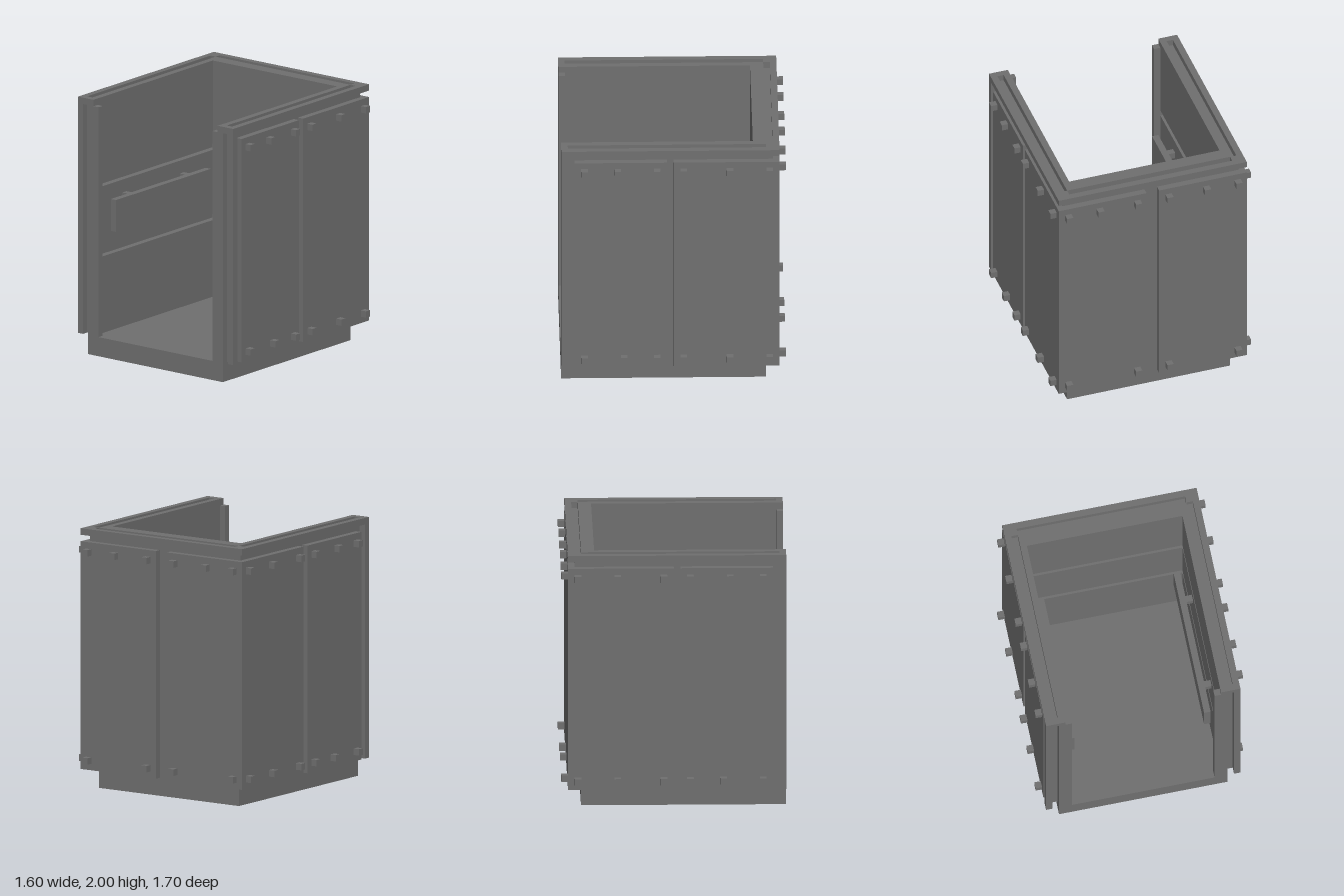
import * as THREE from 'three';

const steel = new THREE.MeshStandardMaterial({ color: 0x707070 });
steel.name = 'grey steel';

export function createModel() {
  const model = new THREE.Group();
  model.name = 'armouredCabin';

  // Box given by its extents on each axis
  const box = (name, x0, x1, y0, y1, z0, z1) => {
    const mesh = new THREE.Mesh(new THREE.BoxGeometry(x1 - x0, y1 - y0, z1 - z0), steel);
    mesh.position.set((x0 + x1) / 2, (y0 + y1) / 2, (z0 + z1) / 2);
    mesh.name = name;
    model.add(mesh);
  };
  // The same box on both sides
  const pair = (name, x0, x1, ...rest) => {
    box(name + 'Left', x0, x1, ...rest);
    box(name + 'Right', -x1, -x0, ...rest);
  };
  const bolt = 0.05;

  // Floor block
  box('base', -0.65, 0.65, 0, 0.15, -0.7, 0.85);

  // Structural core of the walls
  pair('sideCore', 0.65, 0.7, 0.15, 1.95, -0.7, 0.8);
  box('backCore', -0.7, 0.7, 0.15, 1.95, -0.75, -0.65);

  // Inner lining in three bands with grooves between them
  for (const [y0, y1] of [[0.15, 0.75], [0.8, 1.3], [1.35, 2]]) {
    pair('sideLining', 0.6, 0.65, y0, y1, -0.65, 0.8);
    box('backLining', -0.65, 0.65, y0, y1, -0.65, -0.6);
  }

  // Front door posts and outer edge strips
  pair('doorPost', 0.55, 0.65, 0.15, 1.95, 0.8, 0.85);
  pair('edgeStrip', 0.7, 0.75, 0.15, 1.95, 0.8, 0.85);

  // Top rim with a channel running along each wall
  pair('frontRim', 0.6, 0.75, 1.95, 2, 0.8, 0.85);
  pair('outerRim', 0.7, 0.75, 1.95, 2, -0.7, 0.8);
  pair('rimCorner', 0.65, 0.75, 1.95, 2, -0.8, -0.7);
  box('backOuterRim', -0.65, 0.65, 1.95, 2, -0.8, -0.75);
  box('backInnerRim', -0.65, 0.65, 1.95, 2, -0.7, -0.65);

  // Outer armour panels
  pair('sideFrontPanel', 0.7, 0.75, 0.15, 1.9, 0.05, 0.75);
  pair('sideRearPanel', 0.7, 0.75, 0.15, 1.9, -0.75, 0);
  pair('backPanel', 0.05, 0.75, 0.15, 1.9, -0.8, -0.75);

  // Square bolts, given by their lower edge along the panel
  const rows = [
    { y: 1.8, side: [-0.75, -0.45, -0.1, 0.1, 0.4, 0.65], back: [0.1, 0.4, 0.65] },
    { y: 0.2, side: [-0.75, -0.45, -0.1, 0.1, 0.35, 0.65], back: [0.1, 0.65] },
  ];
  for (const { y, side, back } of rows) {
    for (const z of side) pair('sideBolt', 0.75, 0.8, y, y + bolt, z, z + bolt);
    for (const x of back) pair('backBolt', x, x + bolt, y, y + bolt, -0.85, -0.8);
  }

  // Arm rails on brackets
  pair('armRail', 0.5, 0.55, 0.95, 1.2, -0.45, 0.7);
  for (const z of [-0.25, 0.45]) pair('railBracket', 0.55, 0.6, 1.15, 1.2, z, z + 0.05);

  return model;
}
